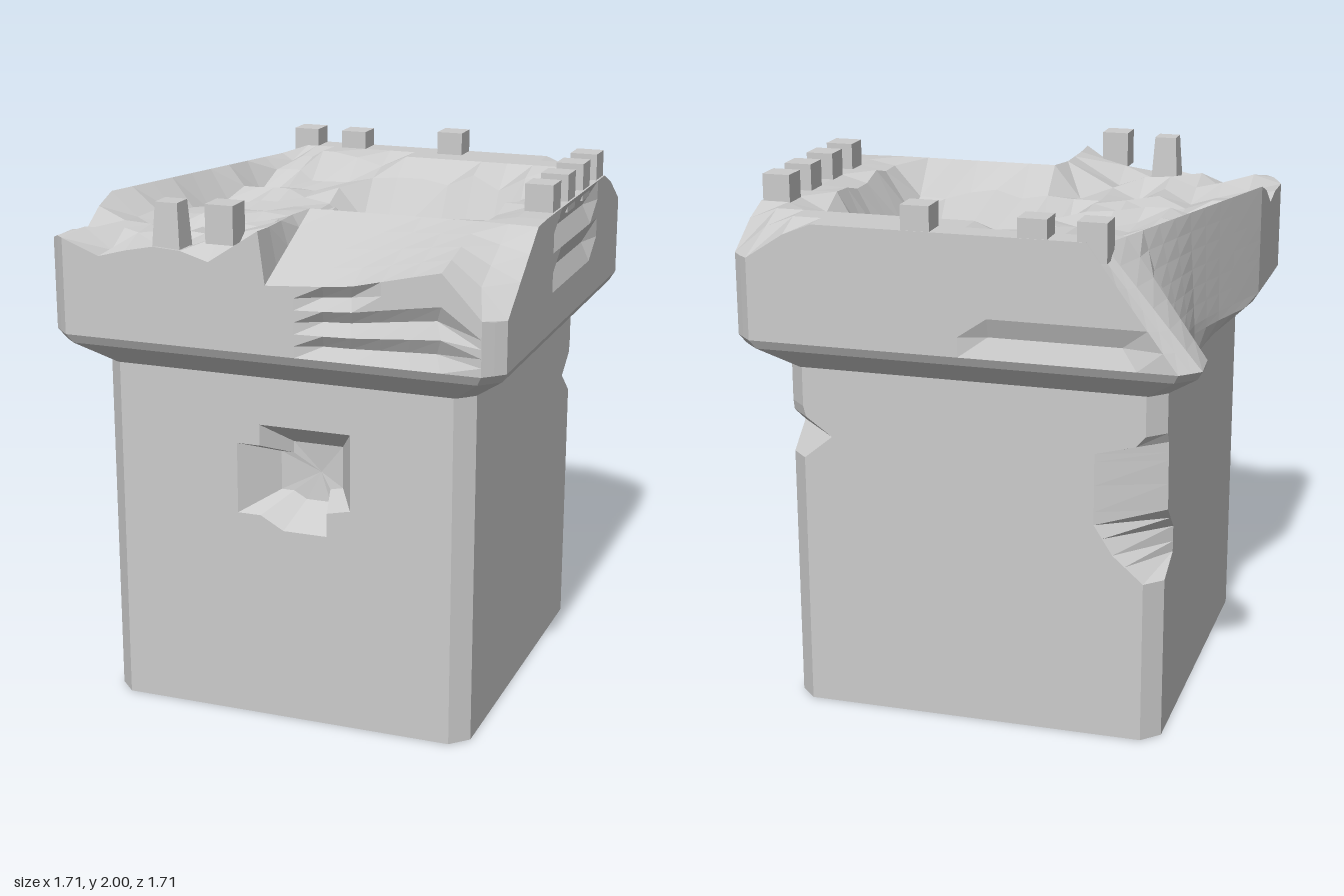
import * as THREE from 'three';

const material = new THREE.MeshStandardMaterial({ color: 0xcccccc, flatShading: true, side: THREE.DoubleSide });
const { clamp, lerp } = THREE.MathUtils;
const R = 0.855, N = 16;

// Flat-shaded surface through rows of points; closed rows wrap around
function loft(name, rows, closed) {
  const pos = [];
  for (let r = 0; r + 1 < rows.length; r++) {
    const n = rows[r].length;
    for (let i = 0; i < (closed ? n : n - 1); i++) {
      const k = (i + 1) % n;
      const a = rows[r][i], b = rows[r][k], c = rows[r + 1][k], d = rows[r + 1][i];
      pos.push(...a, ...b, ...c, ...a, ...c, ...d);
    }
  }
  const g = new THREE.BufferGeometry();
  g.setAttribute('position', new THREE.Float32BufferAttribute(pos, 3));
  g.computeVertexNormals();
  return named(name, g);
}

function named(name, geometry) {
  const mesh = new THREE.Mesh(geometry, material);
  mesh.name = name;
  return mesh;
}

// Repeatable value 0..1 for a pair of grid numbers
function noise(a, b) {
  const s = Math.sin(a * 127.1 + b * 311.7) * 43758.5453;
  return s - Math.floor(s);
}

// Value at v on a broken line of [position, value] points
function along(points, v) {
  if (v <= points[0][0]) return points[0][1];
  for (let i = 1; i < points.length; i++) {
    const [p0, q0] = points[i - 1], [p1, q1] = points[i];
    if (v <= p1) return lerp(q0, q1, (v - p0) / (p1 - p0));
  }
  return points[points.length - 1][1];
}

// Bite out of the -x side: smallest x at the foot and at the top of the crown
const biteFoot = [[-0.65, -R], [-0.54, -0.71], [-0.2, -0.71], [0, -0.76], [0.32, -R]];
const biteTop = [[-R, -0.48], [0.32, -R]];
// Height of the front edge inside the scooped front corner, by x
const scoopEdge = [[0, 1.71], [0.3, 1.73], [0.64, 1.81], [0.79, 1.65], [R, 1.6]];

// Height of the broken top
function height(x, z) {
  const bowl = (cx, cz, rx, rz, depth, slope) =>
    depth * clamp((1 - Math.max(Math.abs(x - cx) / rx, Math.abs(z - cz) / rz)) / slope, 0, 1);
  if (x > -0.02 && z > 0.42) return lerp(1.9, along(scoopEdge, x), (z - 0.42) / (R - 0.42));
  const n = noise(Math.round(x * 9.36), Math.round(z * 9.36));
  const deep = bowl(0.2, -0.09, 0.46, 0.48, 0.35, 0.45);
  const shallow = bowl(-0.44, 0.05, 0.42, 0.72, 0.13, 0.25);
  const mound = bowl(0, -0.02, 0.22, 0.22, 0.12, 0.5);
  let h = 1.9 - Math.max(deep - mound, shallow);
  if (deep + shallow > 0.01) h += (n - 0.5) * 0.07;
  if (x < -0.2 && z > 0.35) h = Math.min(h, 1.76 + n * 0.09);
  if (x > 0) h -= 0.65 * Math.max(0, x + Math.abs(z) - 1.43);
  return h;
}

const gridValue = i => -R + (2 * R * i) / N;

// Point of the broken top at grid column i, row j
function topPoint(i, j) {
  let x = gridValue(i), z = gridValue(j);
  const edgeX = i % N === 0, edgeZ = j % N === 0;
  if (edgeX && edgeZ) { x *= 0.96; z *= 0.96; }
  else if (edgeZ && (i === 1 || i === N - 1)) x = Math.sign(x) * 0.785;
  else if (edgeX && (j === 1 || j === N - 1)) z = Math.sign(z) * 0.785;
  const foot = [x, z];
  if (x < -0.32) x = lerp(-0.32, along(biteTop, z), (x + 0.32) / (0.32 - R));
  // Sharp step beside the scoop, and a thin upright fin above the bite
  if (i === N / 2 - 1 && z > 0.43) x = -0.025;
  const y = i === 0 && z < 0.33 ? 1.88 : height(x, z);
  return { top: [x, y, z], foot };
}

// Long shallow chips pressed into the crown walls
function chip([x, y, z], level) {
  const front = z > 0.8 && x > 0.18 && x < 0.7 && y > 1.5 && y < 1.7;
  const side = x > 0.8 && z > -0.34 && z < 0.12 && y > 1.57 && y < 1.83;
  const back = z < -0.8 && x > -0.65 && x < -0.1 && y > 1.49 && y < 1.62;
  return (front || side || back) && level % 2 === 1 ? 0.035 : 0;
}

function addCrown(group) {
  // Grid points around the edge: front, +x side, back, -x side
  const edge = [];
  for (let i = 0; i < N; i++) edge.push(topPoint(i, N));
  for (let i = 0; i < N; i++) edge.push(topPoint(N, N - i));
  for (let i = 0; i < N; i++) edge.push(topPoint(N - i, 0));
  for (let i = 0; i < N; i++) edge.push(topPoint(0, i));

  const ring = (half, y) => edge.map(({ foot: [x, z] }) => {
    const s = half / R;
    return [Math.max(x * s, along(biteFoot, z)), y, z * s];
  });
  const foot = ring(R, 1.46);
  const rows = [ring(0.71, 1.33), ring(0.835, 1.425), foot];
  const levels = 6;
  for (let level = 1; level <= levels; level++) {
    rows.push(edge.map(({ top }, i) => {
      const p = foot[i].map((v, k) => lerp(v, top[k], level / levels));
      const s = level < levels ? 1 - chip(p, level) : 1;
      return [p[0] * s, p[1], p[2] * s];
    }));
  }
  group.add(loft('crownWall', rows, true));

  const top = [];
  for (let j = N; j >= 0; j--) {
    top.push(Array.from({ length: N + 1 }, (_, i) => topPoint(i, j).top));
  }
  group.add(loft('brokenTop', top, false));

  // Loose stones left standing on the rim: x, z, top height
  const stones = [
    [0.795, -0.48, 2], [0.795, -0.27, 2], [0.795, -0.05, 2], [0.795, 0.16, 2],
    [0.15, -0.8, 1.99], [-0.27, -0.8, 1.97], [-0.48, -0.8, 1.97], [-0.17, 0.8, 1.98],
  ];
  for (const [x, z, y] of stones) {
    const stone = named('rimStone', new THREE.BoxGeometry(0.105, 0.14, 0.105));
    stone.position.set(x, y - 0.07, z);
    group.add(stone);
  }
  const shard = named('rimShard', new THREE.CylinderGeometry(0.06, 0.08, 0.22, 4));
  shard.position.set(-0.38, 1.86, 0.79);
  shard.rotation.y = Math.PI / 4;
  group.add(shard);
}

function addShaft(group) {
  // Chamfered square sections; two back corners widen into notches
  const levels = [0, 0.62, 0.68, 0.72, 0.78, 0.83, 0.88, 0.98, 1.07, 1.1, 1.14, 1.18, 1.33];
  const leftBack = [[0.62, 0.065], [0.72, 0.18], [0.83, 0.25], [1.1, 0.25], [1.14, 0.1], [1.18, 0.065]];
  const leftSide = [[0.62, 0.065], [0.68, 0.2], [0.78, 0.2], [0.88, 0.1], [1.14, 0.09], [1.18, 0.065]];
  const right = [[0.98, 0.065], [1.07, 0.175], [1.14, 0.075], [1.18, 0.065]];
  const h = 0.71, f = h - 0.065;
  const rows = levels.map(y => {
    const a = h - along(right, y), b = h - along(leftBack, y), c = h - along(leftSide, y);
    return [[f, y, h], [h, y, f], [h, y, -a], [a, y, -h], [-b, y, -h], [-h, y, -c], [-h, y, f], [-f, y, h]];
  });
  group.add(loft('shaftWalls', rows, false));

  // Front wall with a ragged hole
  const outline = [[-0.18, 0.8], [-0.09, 0.8], [0, 0.75], [0.17, 0.75], [0.17, 0.84], [0.26, 0.86],
    [0.26, 1.15], [-0.09, 1.15], [-0.09, 1.07], [-0.18, 1.07]];
  const front = new THREE.Shape([[-f, 0], [f, 0], [f, 1.33], [-f, 1.33]].map(p => new THREE.Vector2(...p)));
  front.holes.push(new THREE.Path(outline.map(p => new THREE.Vector2(...p))));
  const wall = named('frontWall', new THREE.ShapeGeometry(front));
  wall.position.z = h;
  group.add(wall);

  // Pit behind the hole, with a broad floor
  const pit = [[1, 0], [0.55, 0.12], [0, 0.13]].map(([s, depth]) =>
    outline.map(([x, y]) => [lerp(0.1, x, s), lerp(0.95, y, s), h - depth]));
  group.add(loft('holePit', pit, true));

  // Underside
  const base = new THREE.Shape(rows[0].map(([x, , z]) => new THREE.Vector2(x, z)));
  const underside = named('underside', new THREE.ShapeGeometry(base));
  underside.rotation.x = Math.PI / 2;
  group.add(underside);
}

export function createModel() {
  const group = new THREE.Group();
  group.name = 'ruinedTower';
  addShaft(group);
  addCrown(group);
  return group;
}
